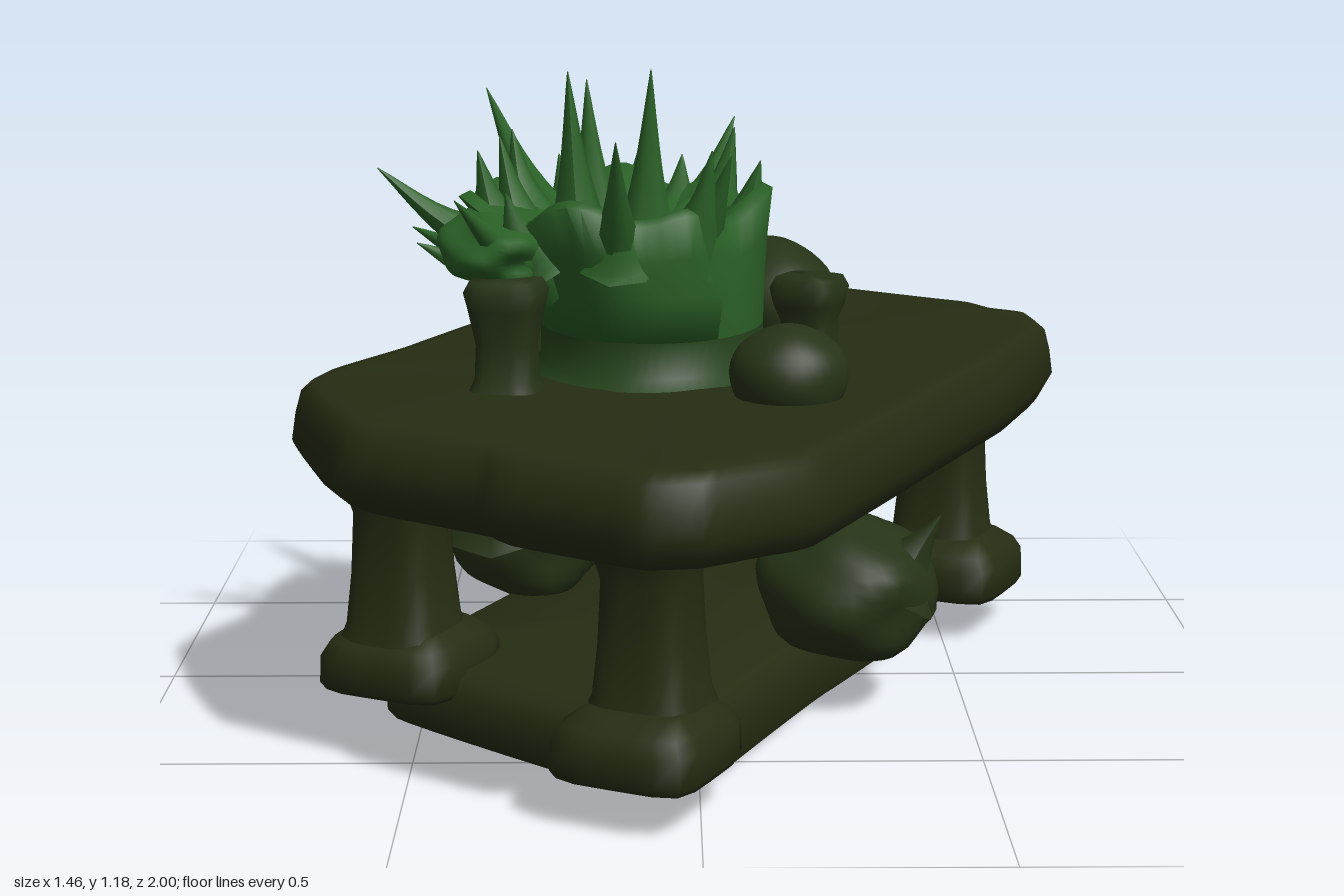
import * as THREE from 'three';
import { toCreasedNormals } from 'three/addons/utils/BufferGeometryUtils.js';

const material = (color) => new THREE.MeshStandardMaterial({ color, side: THREE.DoubleSide });
const WOOD = material(0x262d13);
const STONE = material(0x263317);
const STEM = material(0x25421b);
const LEAF = material(0x2a6026);
const TILT = 0.46; // the table's long axis is turned from z

// Closed ring of points from a function of the angle
function ring(sides, pointAt) {
  const points = [];
  for (let i = 0; i < sides; i++) points.push(pointAt((i * Math.PI * 2) / sides));
  return points;
}

// Skin a closed surface over rings of [x, y, z] points, bottom to top
function loft(rings, crease = 1.1) {
  const n = rings[0].length;
  const last = (rings.length - 1) * n;
  const pos = rings.flat(2);
  const index = [];
  for (const r of [rings[0], rings[rings.length - 1]]) {
    const centre = [0, 0, 0];
    for (const p of r) p.forEach((value, k) => { centre[k] += value / n; });
    pos.push(...centre);
  }
  const bottom = last + n;
  const top = bottom + 1;
  for (let j = 0; j < n; j++) {
    const k = (j + 1) % n;
    for (let i = 0; i < last; i += n) {
      index.push(i + j, i + n + j, i + k);
      index.push(i + n + j, i + n + k, i + k);
    }
    index.push(bottom, j, k);
    index.push(top, last + k, last + j);
  }
  const geo = new THREE.BufferGeometry();
  geo.setAttribute('position', new THREE.Float32BufferAttribute(pos, 3));
  geo.setIndex(index);
  return toCreasedNormals(geo, crease);
}

// Slab from an outline of [x, z] and levels of [y, scale], with slight waviness
function slab(outline, levels) {
  const corners = outline.map(([x, z]) => new THREE.Vector3(x, 0, z));
  const curve = new THREE.CatmullRomCurve3(corners, true, 'catmullrom', 0.15);
  const points = curve.getPoints(96).slice(0, 96);
  const rings = [];
  for (const [y, s] of levels) {
    rings.push(points.map((p, i) => [p.x * s, y + 0.003 * Math.sin(i * Math.PI / 8), p.z * s]));
  }
  return loft(rings);
}

// Rounded-square column, levels of [y, half width]
function column(cx, cz, levels, turn, power) {
  const rings = [];
  for (const [y, h] of levels) {
    rings.push(ring(24, (a) => {
      const sum = Math.pow(Math.abs(Math.cos(a)), power) + Math.pow(Math.abs(Math.sin(a)), power);
      const r = h / Math.pow(sum, 1 / power);
      return [cx + r * Math.cos(a + turn), y, cz + r * Math.sin(a + turn)];
    }));
  }
  return loft(rings);
}

// Lumpy ellipsoid
function boulder(x, y, z, rx, ry, rz, rough, turn = 0) {
  const geo = new THREE.SphereGeometry(1, 32, 22);
  const p = geo.attributes.position;
  const v = new THREE.Vector3();
  for (let i = 0; i < p.count; i++) {
    v.fromBufferAttribute(p, i);
    const lumps = Math.sin(v.x * 4 + x * 9) * Math.cos(v.y * 5 + 1) + 0.6 * Math.sin(v.z * 6 + v.y * 3);
    const k = 1 + rough * lumps;
    p.setXYZ(i, v.x * rx * k, v.y * ry * k, v.z * rz * k);
  }
  geo.rotateY(turn);
  geo.translate(x, y, z);
  geo.computeVertexNormals();
  return geo;
}

// Curved blade, wide at the root and thin towards the tip, sagging in the middle
function blade(from, to, width, sag = 0.03) {
  const a = new THREE.Vector3(...from);
  const b = new THREE.Vector3(...to);
  const mid = a.clone().lerp(b, 0.55);
  mid.y -= sag;
  const curve = new THREE.CatmullRomCurve3([a, mid, b]);
  const steps = 10;
  const sides = 7;
  const geo = new THREE.TubeGeometry(curve, steps, 1, sides);
  const p = geo.attributes.position;
  const v = new THREE.Vector3();
  for (let i = 0; i < p.count; i++) {
    const t = Math.floor(i / (sides + 1)) / steps;
    const c = curve.getPointAt(t);
    const radius = width * Math.pow(1 - t, 2.2) + 0.014 * (1 - Math.pow(t, 4)) + 0.001;
    v.fromBufferAttribute(p, i).sub(c).multiplyScalar(radius).add(c);
    p.setXYZ(i, v.x, v.y, v.z);
  }
  geo.computeVertexNormals();
  return geo;
}

export function createModel() {
  const model = new THREE.Group();
  const add = (name, geo, mat) => {
    const mesh = new THREE.Mesh(geo, mat);
    mesh.name = name;
    model.add(mesh);
  };

  // Table top and lower slab
  const topOutline = [
    [-0.17, -1], [0.08, -1], [0.16, -0.96], [0.28, -0.83], [0.59, -0.59], [0.64, -0.49], [0.71, -0.45],
    [0.725, -0.35], [0.68, -0.2], [0.6, 0.02], [0.42, 0.38], [0.2, 0.82], [0.13, 0.89], [0, 0.99], [-0.1, 0.99],
    [-0.33, 0.82], [-0.37, 0.77], [-0.6, 0.61], [-0.68, 0.42], [-0.73, 0.23], [-0.7, 0.14], [-0.58, -0.06],
    [-0.46, -0.34], [-0.35, -0.6],
  ];
  const topLevels = [[0.47, 0.92], [0.485, 0.96], [0.53, 1], [0.58, 0.99], [0.62, 0.975], [0.636, 0.95], [0.638, 0.9]];
  add('tableTop', slab(topOutline, topLevels), WOOD);
  const lowerOutline = [
    [-0.56, 0.27], [-0.54, 0.16], [-0.3, -0.34], [-0.08, -0.84], [0, -0.89], [0.08, -0.86], [0.48, -0.46],
    [0.5, -0.36], [0.25, 0.13], [0.02, 0.62], [-0.06, 0.7], [-0.14, 0.66],
  ];
  const lowerLevels = [[0.01, 0.98], [0.025, 1], [0.09, 1], [0.12, 0.97], [0.132, 0.92]];
  add('lowerSlab', slab(lowerOutline, lowerLevels), WOOD);

  // Four legs with block feet, as [leg x, leg z, foot x, foot z]
  const footLevels = [[0.085, 0.125], [0.1, 0.134], [0.15, 0.132], [0.175, 0.118], [0.2, 0.085]];
  const legLevels = [[0.15, 0.11], [0.21, 0.089], [0.3, 0.08], [0.41, 0.075], [0.45, 0.086], [0.5, 0.1]];
  for (const [x, z, fx, fz] of [
    [-0.08, 0.72, -0.09, 0.745], [0.51, -0.37, 0.52, -0.35], [0, -0.79, 0, -0.8], [-0.53, 0.28, -0.52, 0.27],
  ]) {
    add('foot', column(fx, fz, footLevels, TILT, 6), WOOD);
    add('leg', column(x, z, legLevels, TILT, 4), WOOD);
  }

  // Rocks between the slabs, each with a peak touching the table
  add('leftRock', boulder(0.28, 0.225, 0.15, 0.165, 0.135, 0.185, 0.06), STONE);
  add('leftRockPeak', blade([0.25, 0.26, 0.11], [0.2, 0.5, 0.05], 0.13, 0), STONE);
  add('leftRockHorn', blade([0.36, 0.24, 0.19], [0.45, 0.375, 0.2], 0.09, 0), STONE);
  add('rightRock', boulder(-0.33, 0.25, -0.25, 0.16, 0.155, 0.18, 0.06), STONE);
  add('rightRockPeak', blade([-0.36, 0.28, -0.18], [-0.41, 0.5, -0.1], 0.13, 0), STONE);
  add('rightRockHorn', blade([-0.4, 0.3, -0.3], [-0.53, 0.39, -0.37], 0.1, 0), STONE);
  add('rightRockShoulder', blade([-0.28, 0.28, -0.25], [-0.21, 0.42, -0.25], 0.1, 0), STONE);

  // Domes and flared stumps on the table
  add('largeDome', boulder(0.16, 0.66, -0.42, 0.13, 0.13, 0.18, 0.02, 0.25), STONE);
  add('smallDome', boulder(0.16, 0.67, 0.37, 0.105, 0.09, 0.1, 0.02), STONE);
  const stumps = [
    [-0.13, -0.61, 0.072, 0.81, 0.9], [0.21, 0.09, 0.065, 0.8, 0.5],
    [-0.23, -0.345, 0.055, 0.79, 0.2], [-0.335, 0.32, 0.07, 0.835, 0.2],
  ];
  for (const [x, z, r, y, turn] of stumps) {
    const levels = [[0.63, r * 0.95], [0.66, r * 0.76], [0.72, r * 0.72], [y - 0.05, r * 0.9], [y - 0.02, r], [y, r * 0.85]];
    add('stump', column(x, z, levels, turn, 4), STONE);
  }

  // Plant: a cup with a wavy rim and hollow centre, levels of [y, centre x, rx, rz, waviness]
  const cup = [
    [0.63, -0.08, 0.24, 0.28, 0], [0.655, -0.08, 0.205, 0.245, 0], [0.72, -0.08, 0.205, 0.245, 0],
    [0.8, -0.09, 0.215, 0.26, 0.2], [0.87, -0.11, 0.235, 0.27, 0.5], [0.94, -0.13, 0.255, 0.275, 1],
    [0.95, -0.13, 0.235, 0.25, 1], [0.91, -0.13, 0.19, 0.2, 0.9], [0.88, -0.13, 0.11, 0.12, 0.8], [0.87, -0.13, 0.04, 0.04, 0],
  ];
  const cupRings = cup.map(([y, cx, rx, rz, w]) => ring(72, (a) => {
    const wave = w * (Math.sin(a * 7 + 0.5) * 0.6 + Math.sin(a * 4 + 1) * 0.4);
    const k = 1 + 0.07 * wave;
    const bulge = 0.04 * w * Math.max(0, -Math.cos(a));
    return [cx + (rx * k + bulge) * Math.cos(a), y + 0.03 * wave, 0.085 + rz * k * Math.sin(a)];
  }));
  add('plantBase', loft(cupRings.slice(0, 3), 1.5), STEM);
  add('plantBody', loft(cupRings.slice(2), 1.5), LEAF);
  add('sideFoliage', boulder(-0.35, 0.87, 0.17, 0.11, 0.07, 0.18, 0.1), LEAF);

  // Tall leaves, by tip
  const tips = [
    [-0.58, 1, 0.08], [-0.4, 1.11, -0.27], [-0.35, 0.92, -0.28], [-0.23, 1.18, 0.13], [-0.08, 1.19, 0.2],
    [-0.14, 1.09, 0.45], [0.08, 1.06, -0.22], [0.06, 1.05, 0.32], [-0.2, 1.15, -0.03], [-0.08, 1.09, -0.28],
    [-0.42, 0.98, 0.37], [-0.53, 0.87, -0.06], [-0.5, 0.88, 0.2], [-0.22, 0.9, -0.27], [-0.36, 1.05, 0.02], [0.11, 1, 0.1],
  ];
  for (const [x, y, z] of tips) {
    const dx = x + 0.14;
    const dz = z - 0.085;
    const k = Math.min(0.75, 0.18 / Math.hypot(dx, dz));
    const root = [-0.14 + dx * k, 0.83, 0.085 + dz * k];
    add('leaf', blade(root, [x, y, z], 0.06, 0.02), LEAF);
  }

  // Short rim points
  for (let i = 0; i < 9; i++) {
    const a = (i * Math.PI * 2) / 9 + 0.2 + 0.15 * Math.sin(i * 3);
    const out = 1.05 + 0.07 * Math.sin(i * 2.4);
    const root = [-0.14 + 0.2 * Math.cos(a), 0.86, 0.085 + 0.22 * Math.sin(a)];
    const tip = [-0.14 + 0.25 * out * Math.cos(a), 1.02 + 0.04 * Math.sin(i * 1.7), 0.085 + 0.27 * out * Math.sin(a)];
    add('rimLeaf', blade(root, tip, 0.06), LEAF);
  }
  return model;
}
